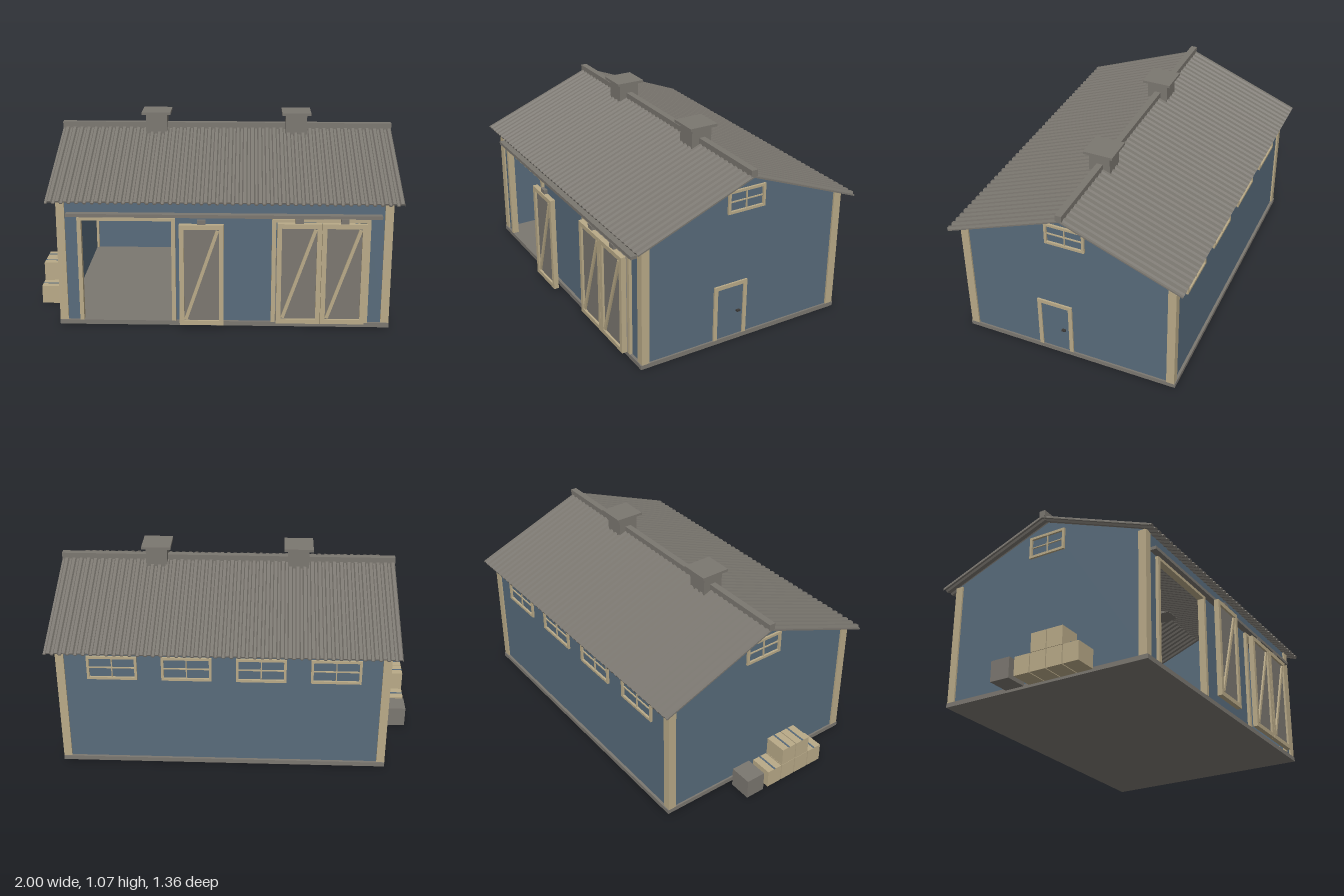
import * as THREE from 'three';

const mat = (name, color) => Object.assign(new THREE.MeshStandardMaterial({ color }), { name });

export function createModel() {
  const root = new THREE.Group();
  root.name = 'barn';
  const blue = mat('blue siding', 0x586b7b);
  const tan = mat('tan timber', 0xb9aa88);
  const grey = mat('warm grey', 0x7b7770);
  const dark = mat('dark metal', 0x3a3836);
  const CX = 0.05, CZ = -0.01; // centre of the building

  const add = (parent, name, geo, m) => {
    const mesh = new THREE.Mesh(geo, m);
    mesh.name = name;
    parent.add(mesh);
    return mesh;
  };
  // Box given by its lower and upper limits on each axis
  const box = (parent, name, m, x0, x1, y0, y1, z0, z1) => {
    const b = add(parent, name, new THREE.BoxGeometry(x1 - x0, y1 - y0, z1 - z0), m);
    b.position.set((x0 + x1) / 2, (y0 + y1) / 2, (z0 + z1) / 2);
    return b;
  };
  const group = (name, parent = root) => {
    const g = new THREE.Group();
    g.name = name;
    parent.add(g);
    return g;
  };
  const polygon = (pts) => new THREE.Shape(pts.map(([x, y]) => new THREE.Vector2(x, y)));
  const extrude = (shape, depth) => new THREE.ExtrudeGeometry(shape, { depth, bevelEnabled: false });

  // Foundation slab, also the floor
  box(root, 'foundation', grey, -0.845, 0.945, 0, 0.025, -0.63, 0.61);

  // Front wall with two door openings, and the plain back wall
  const front = polygon([
    [-0.835, 0.025], [-0.715, 0.025], [-0.715, 0.6], [-0.23, 0.6], [-0.23, 0.025],
    [0.325, 0.025], [0.325, 0.6], [0.805, 0.6], [0.805, 0.025],
    [0.935, 0.025], [0.935, 0.722], [-0.835, 0.722],
  ]);
  add(root, 'frontWall', extrude(front, 0.02), blue).position.z = 0.575;
  box(root, 'backWall', blue, -0.835, 0.935, 0.025, 0.722, -0.615, -0.595);

  // Gable end walls
  for (const x of [-0.835, 0.915]) {
    const gable = polygon([[-0.604, 0.025], [0.604, 0.025], [0.604, 0.722], [0, 0.957], [-0.604, 0.722]]);
    const wall = add(root, 'gableWall', extrude(gable, 0.02), blue);
    wall.rotation.y = Math.PI / 2;
    wall.position.set(x, 0, CZ);
  }

  // Corner posts
  for (const x of [-0.845, 0.9]) {
    for (const z of [-0.625, 0.56]) box(root, 'cornerPost', tan, x, x + 0.045, 0.025, 0.718, z, z + 0.045);
  }

  // Corrugated roof, one sheet per slope
  const RIBS = 46, HALF = 0.945, step = (2 * HALF) / RIBS;
  const crest = [];
  for (let i = 0; i < RIBS; i++) {
    const x = -HALF + i * step;
    crest.push([x, 0], [x + step * 0.3, 0], [x + step * 0.45, 0.011], [x + step * 0.85, 0.011]);
  }
  crest.push([HALF, 0]);
  const sheet = polygon([...crest, ...crest.map(([x, y]) => [x, y - 0.008]).reverse()]);
  const slope = Math.atan2(0.262, 0.665);
  for (const turn of [0, Math.PI]) {
    const side = group('roofSide');
    side.position.set(CX, 0.967, -0.012);
    side.rotation.y = turn;
    add(side, 'corrugatedRoof', extrude(sheet, 0.715), grey).rotation.x = slope;
  }
  box(root, 'ridgeCap', grey, -0.895, 0.995, 0.965, 1.0, -0.03, 0.006);

  // Roof vents
  for (const x of [-0.35, 0.45]) {
    const vent = group('roofVent');
    box(vent, 'ventBody', grey, x - 0.06, x + 0.06, 0.935, 1.055, -0.07, 0.05);
    box(vent, 'ventCap', grey, x - 0.082, x + 0.082, 1.055, 1.07, -0.094, 0.073);
  }

  // Rectangular timber frame facing +z, centred on its group
  const frame = (parent, w, h, t, depth) => {
    for (const s of [-1, 1]) {
      const a = s * (w - t) / 2, b = s * (h - t) / 2;
      box(parent, 'frameStile', tan, a - t / 2, a + t / 2, -h / 2, h / 2, 0, depth);
      box(parent, 'frameRail', tan, -w / 2 + t, w / 2 - t, b - t / 2, b + t / 2, 0, depth);
    }
  };

  // Windows: four on the back, one in each gable
  const windowAt = (x, y, z, turn, w, h) => {
    const g = group('window');
    g.position.set(x, y, z);
    g.rotation.y = turn;
    frame(g, w, h, 0.014, 0.012);
    box(g, 'mullion', tan, -0.003, 0.003, -h / 2, h / 2, 0, 0.007);
    box(g, 'glazingBar', tan, -w / 2, w / 2, -0.003, 0.003, 0, 0.007);
  };
  for (let i = 0; i < 4; i++) windowAt(0.645 - i * 0.4, 0.597, -0.615, Math.PI, 0.27, 0.14);
  windowAt(0.935, 0.822, CZ, Math.PI / 2, 0.225, 0.127);
  windowAt(-0.835, 0.822, CZ, -Math.PI / 2, 0.225, 0.127);

  // Frames around the two front openings
  for (const [x0, x1] of [[-0.735, -0.21], [0.305, 0.828]]) {
    const g = group('openingFrame');
    box(g, 'jamb', tan, x0, x0 + 0.022, 0.025, 0.612, 0.574, 0.612);
    box(g, 'jamb', tan, x1 - 0.022, x1, 0.025, 0.612, 0.574, 0.612);
    box(g, 'lintel', tan, x0 + 0.022, x1 - 0.022, 0.595, 0.612, 0.574, 0.612);
  }

  // Rail and sliding doors with a diagonal brace
  box(root, 'doorRail', grey, -0.79, 0.885, 0.62, 0.638, 0.594, 0.632);
  const slidingDoor = (x, z) => {
    const g = group('slidingDoor'), w = 0.236, h = 0.565, t = 0.025;
    g.position.set(x, 0.313, z);
    frame(g, w, h, t, 0.028);
    box(g, 'doorPanel', grey, -w / 2 + t, w / 2 - t, -h / 2 + t, h / 2 - t, 0.004, 0.016);
    const dx = w - 2 * t, dy = h - 2 * t;
    const brace = add(g, 'brace', new THREE.BoxGeometry(0.018, Math.hypot(dx, dy) - 0.02, 0.012), tan);
    brace.position.z = 0.02;
    brace.rotation.z = -Math.atan2(dx, dy) * 0.94;
    box(g, 'hanger', grey, -0.022, 0.022, h / 2, h / 2 + 0.024, 0, 0.02);
  };
  slidingDoor(-0.068, 0.65);
  slidingDoor(0.45, 0.616);
  slidingDoor(0.688, 0.616);

  // Side door on the left end
  const door = group('sideDoor');
  box(door, 'doorJamb', tan, 0.925, 0.945, 0.025, 0.35, 0.149, 0.171);
  box(door, 'doorJamb', tan, 0.925, 0.945, 0.025, 0.35, -0.033, -0.011);
  box(door, 'doorLintel', tan, 0.925, 0.945, 0.328, 0.35, -0.011, 0.149);
  box(door, 'doorLeaf', blue, 0.925, 0.938, 0.027, 0.328, -0.011, 0.149);
  box(door, 'doorHandle', dark, 0.938, 0.952, 0.168, 0.177, 0.008, 0.03);

  // Crates beside the right end
  const crates = group('crates');
  box(crates, 'greyCrate', grey, -1, -0.872, 0, 0.115, -0.212, -0.098);
  for (let i = 0; i < 4; i++) {
    const z = -0.02 + i * 0.0975;
    const levels = i === 1 || i === 2 ? 2 : 1;
    for (let j = 0; j < levels; j++) {
      box(crates, 'crate', tan, -1, -0.872, j * 0.106, j * 0.106 + 0.104, z - 0.046, z + 0.046);
    }
    const top = levels * 0.106 - 0.002;
    box(crates, 'crateStrap', blue, -1, -0.872, top, top + 0.002, z - 0.005, z + 0.005);
  }
  return root;
}
